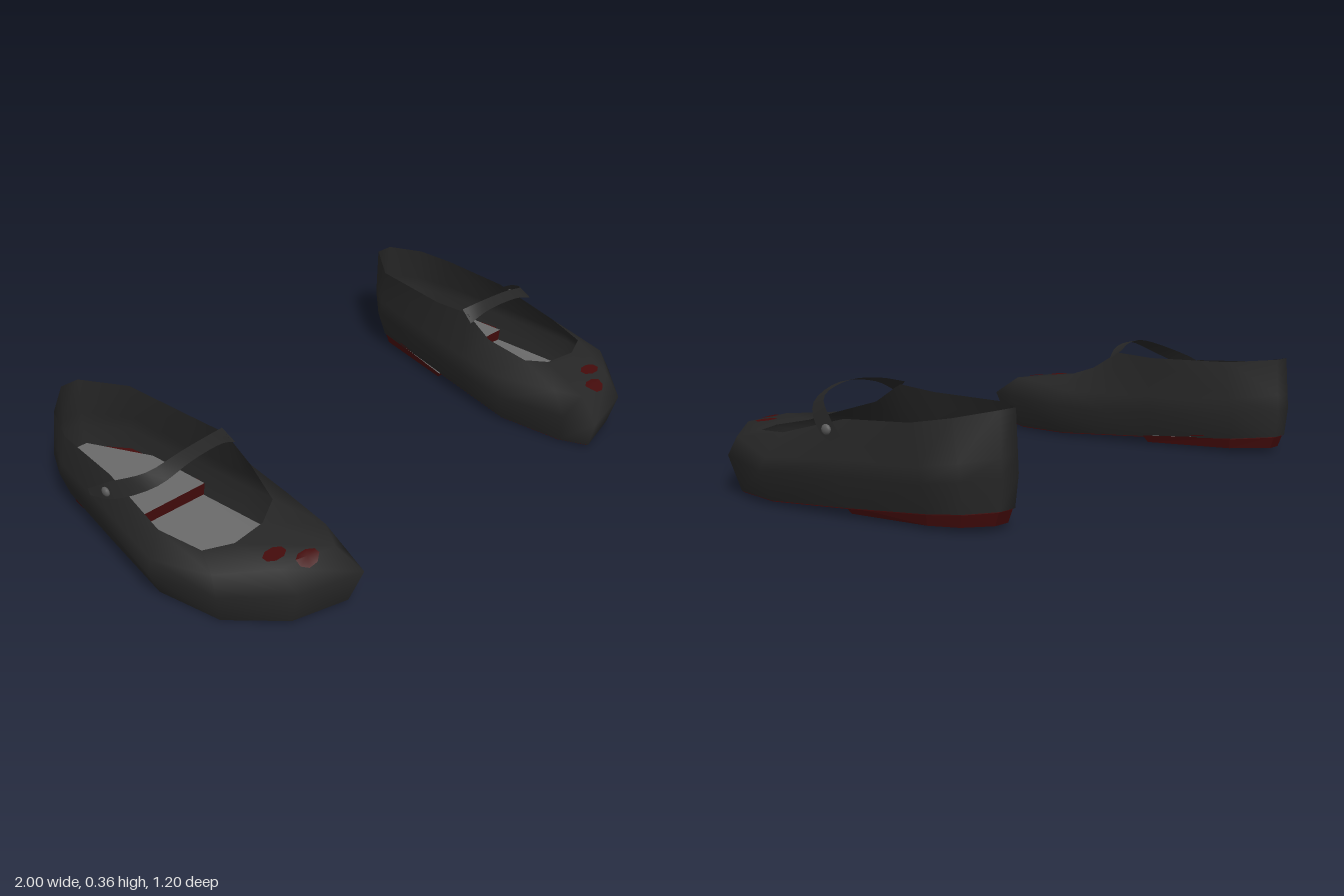
import * as THREE from 'three';

const mat = (name, color, side = THREE.FrontSide) => {
  const m = new THREE.MeshStandardMaterial({ color, side });
  m.name = name;
  return m;
};
const black = mat('black leather', 0x262626, THREE.DoubleSide);
const red = mat('dark red', 0x430b0b);
const grey = mat('sole grey', 0x696969);
const metal = mat('button grey', 0x5c5c5c);

const CX = 0.74; // centre line of the left shoe

// Widest outline, from toe tip along the outer side, heel and inner side: x, y, z
const WIDE = [
  [0.56, 0.13, 0.6], [0.77, 0.13, 0.545], [0.935, 0.12, 0.38], [1, 0.11, 0.15], [0.957, 0.13, -0.15],
  [0.915, 0.14, -0.43], [0.87, 0.15, -0.53], [0.78, 0.16, -0.6], [0.71, 0.16, -0.6], [0.6, 0.15, -0.47],
  [0.547, 0.13, -0.15], [0.515, 0.12, 0.03], [0.48, 0.12, 0.24], [0.525, 0.13, 0.49],
];
// Rim of the foot opening, matching the outline point by point
const RIM = [
  [0.68, 0.207, 0.295], [0.8, 0.205, 0.31], [0.89, 0.205, 0.27], [0.93, 0.22, 0.12], [0.915, 0.285, -0.13],
  [0.905, 0.3, -0.38], [0.865, 0.32, -0.5], [0.775, 0.34, -0.59], [0.71, 0.34, -0.59], [0.605, 0.33, -0.45],
  [0.572, 0.325, -0.15], [0.568, 0.335, 0], [0.565, 0.27, 0.11], [0.6, 0.228, 0.25],
];

// Underside height along the shoe
function soleY(z) {
  if (z > 0.42) return (z - 0.42) * 0.1;
  if (z > -0.14) return (0.42 - z) * 0.052;
  return 0.029 + (-0.14 - z) * 0.069;
}

const BOTTOM = WIDE.map(([x, , z]) => {
  const bz = z * (z > 0 ? 0.935 : 0.985);
  return [CX + (x - CX) * 0.85, soleY(bz) + 0.003, bz];
});

function surface(positions, index) {
  const g = new THREE.BufferGeometry();
  g.setAttribute('position', new THREE.Float32BufferAttribute(positions, 3));
  g.setIndex(index);
  g.computeVertexNormals();
  return g;
}

// Skin closed loops of equal length
function loft(loops) {
  const n = loops[0].length, index = [];
  for (let j = 0; j < loops.length - 1; j++) {
    for (let i = 0; i < n; i++) {
      const k = (i + 1) % n;
      const a = j * n + i, b = j * n + k, c = b + n, d = a + n;
      index.push(a, b, c, a, c, d);
    }
  }
  return surface(loops.flat(2), index);
}

// Upright slab with grey faces and red edges; taper shrinks the lower face
function slab(name, outline, topY, bottomY, taper = 1, midZ = 0) {
  const shape = new THREE.Shape(outline.map(([x, z]) => new THREE.Vector2(x, z)));
  const g = new THREE.ExtrudeGeometry(shape, { depth: 1, bevelEnabled: false });
  g.rotateX(Math.PI / 2);
  const p = g.attributes.position;
  for (let i = 0; i < p.count; i++) {
    let x = p.getX(i), z = p.getZ(i);
    const lower = p.getY(i) < -0.5;
    if (lower) {
      x = CX + (x - CX) * taper;
      z = midZ + (z - midZ) * taper;
    }
    p.setXYZ(i, x, lower ? bottomY(z) : topY(z), z);
  }
  g.computeVertexNormals();
  const m = new THREE.Mesh(g, [grey, red]);
  m.name = name;
  return m;
}

function createShoe() {
  const shoe = new THREE.Group();
  const add = (name, geometry, material) => {
    const m = new THREE.Mesh(geometry, material);
    m.name = name;
    shoe.add(m);
    return m;
  };

  // Upper, with a bulging toe shoulder between outline and rim
  const shoulder = WIDE.map((w, i) => {
    const p = w.map((v, k) => v + (RIM[i][k] - v) * 0.28);
    p[1] += 0.043 * THREE.MathUtils.smoothstep(w[2], 0, 0.5);
    return p;
  });
  const upper = add('upper', loft([BOTTOM, WIDE, shoulder, RIM]), black);

  // Sole
  const outline = BOTTOM.map(([x, , z]) => [CX + (x - CX) * 0.985, z * 0.99]);
  shoe.add(slab('sole', outline, z => soleY(z) + 0.012, soleY));

  // Heel block
  const heel = [[0.91, -0.12], ...outline.slice(4, 11).filter(q => q[1] < -0.16), [0.565, -0.12]];
  shoe.add(slab('heel', heel, z => soleY(z) + 0.006, z => 0.01 - (z + 0.14) * 0.022, 0.93, -0.34));

  // Raised insole at the heel, over a red lining
  const lining = add('heelLining', new THREE.ShapeGeometry(new THREE.Shape(
    WIDE.slice(4, 11).map(([x, , z]) => new THREE.Vector2(CX + (x - CX) * 0.88, -z * 0.975)))), red);
  lining.geometry.rotateX(-Math.PI / 2).translate(0, 0.085, 0);
  const insole = [[0.925, -0.125], [0.905, -0.3], [0.77, -0.57], [0.72, -0.57], [0.6, -0.36], [0.57, -0.125]];
  shoe.add(slab('heelInsole', insole, z => 0.085 - (z + 0.125) * 0.04, z => soleY(z) + 0.01, 0.98, -0.3));

  // Strap across the instep, from inner rim to outer side
  const edge = pts => new THREE.CatmullRomCurve3(pts.map(p => new THREE.Vector3(...p))).getPoints(20);
  const front = edge([[0.555, 0.31, 0.03], [0.62, 0.345, 0.05], [0.75, 0.355, 0.07],
    [0.87, 0.31, 0.05], [0.95, 0.242, -0.07], [0.966, 0.214, -0.17]]);
  const back = edge([[0.565, 0.345, -0.02], [0.64, 0.362, 0.005], [0.75, 0.366, 0.02],
    [0.87, 0.335, 0], [0.938, 0.285, -0.1], [0.962, 0.226, -0.19]]);
  const pos = [], idx = [];
  front.forEach((f, i) => {
    pos.push(...f.toArray(), ...back[i].toArray());
    const a = i * 2;
    if (i < front.length - 1) idx.push(a, a + 2, a + 3, a, a + 3, a + 1);
  });
  add('strap', surface(pos, idx), black);

  // Strap button
  const button = add('strapButton', new THREE.SphereGeometry(0.018, 12, 8), metal);
  button.scale.set(0.5, 0.85, 1);
  button.position.set(0.955, 0.257, -0.1);

  // Red toe patches laid on the upper
  const ray = new THREE.Raycaster();
  const down = new THREE.Vector3(0, -1, 0);
  for (const [x, z] of [[0.75, 0.425], [0.685, 0.495]]) {
    const g = new THREE.CircleGeometry(1, 8);
    g.rotateX(-Math.PI / 2).rotateY(Math.PI / 8).scale(0.04, 1, 0.027).translate(x, 0, z);
    const p = g.attributes.position;
    for (let i = 0; i < p.count; i++) {
      ray.set(new THREE.Vector3(p.getX(i), 1, p.getZ(i)), down);
      const hit = ray.intersectObject(upper)[0];
      p.setY(i, (hit ? hit.point.y : 0.19) + 0.004);
    }
    g.computeVertexNormals();
    add('toePatch', g, red);
  }
  return shoe;
}

export function createModel() {
  const model = new THREE.Group();
  model.name = 'strapShoes';
  const left = createShoe();
  left.name = 'leftShoe';
  const right = createShoe();
  right.name = 'rightShoe';
  right.scale.x = -1;
  model.add(left, right);
  return model;
}
